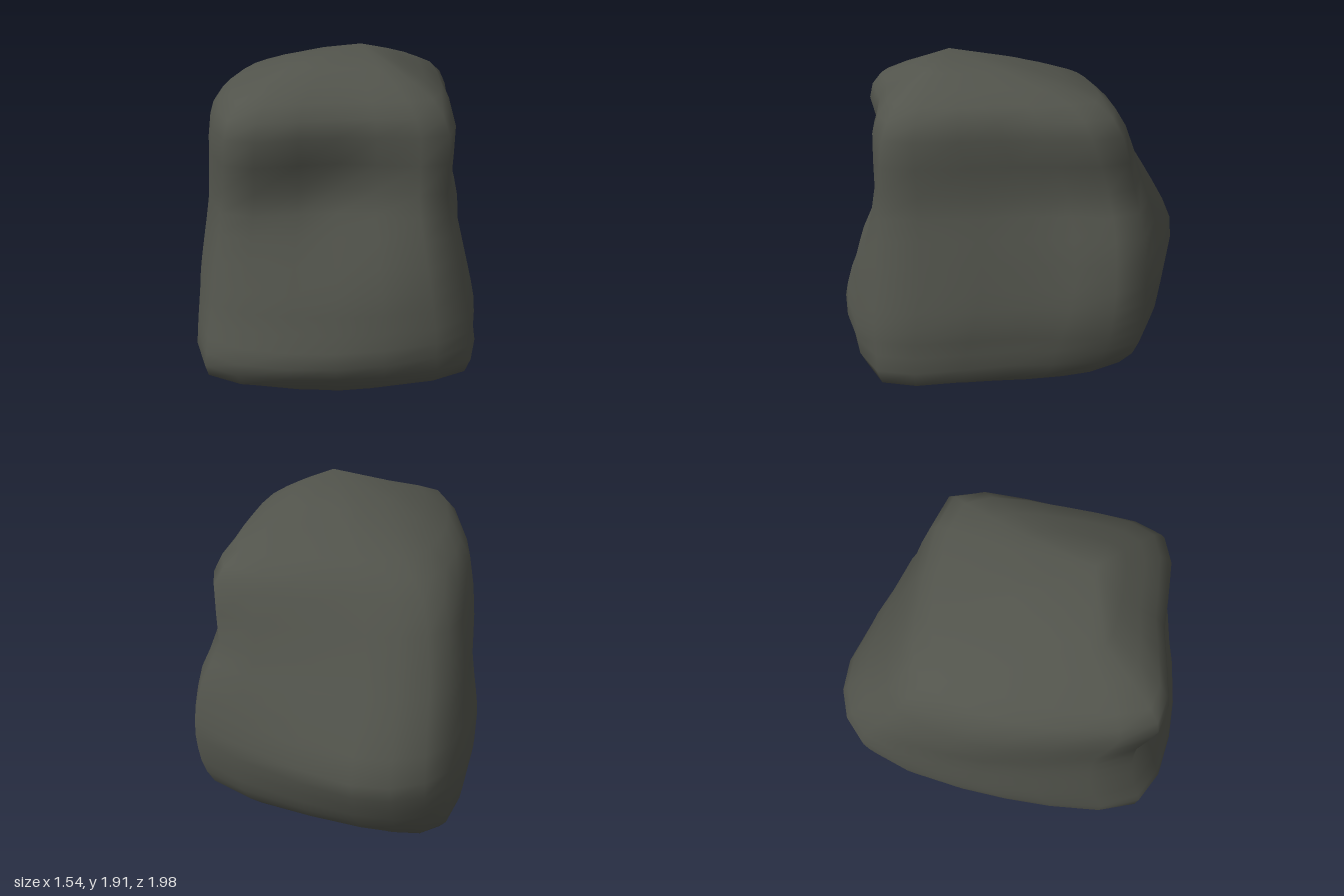
import * as THREE from 'three';

// Each level: y, then right x, front-right xz, front z, front-left xz,
// left x, back-left xz, back z, back-right xz
const LEVELS = [
  [0.02, 0.14, 0.1, 0.42, 0.46, -0.17, 0.43, -0.22, -0.16, 0.2, 0.18, 0.1, 0.2],
  [0.09, 0.42, 0.33, 0.5, 0.64, -0.44, 0.54, -0.5, -0.38, -0.22, -0.24, 0.36, -0.2],
  [0.29, 0.7, 0.7, 0.72, 0.88, -0.62, 0.8, -0.72, -0.62, -0.64, -0.72, 0.6, -0.54],
  [0.46, 0.72, 0.71, 0.74, 0.98, -0.61, 0.86, -0.76, -0.66, -0.72, -0.87, 0.68, -0.62],
  [0.62, 0.73, 0.7, 0.74, 0.93, -0.59, 0.81, -0.77, -0.66, -0.78, -0.94, 0.71, -0.63],
  [0.8, 0.7, 0.66, 0.73, 0.87, -0.57, 0.77, -0.75, -0.65, -0.8, -0.99, 0.71, -0.63],
  [1.05, 0.64, 0.6, 0.71, 0.74, -0.54, 0.72, -0.71, -0.63, -0.7, -0.86, 0.65, -0.62],
  [1.27, 0.58, 0.56, 0.69, 0.65, -0.51, 0.71, -0.7, -0.61, -0.58, -0.72, 0.55, -0.58],
  [1.55, 0.6, 0.56, 0.66, 0.73, -0.48, 0.77, -0.65, -0.55, -0.44, -0.55, 0.58, -0.5],
  [1.7, 0.55, 0.48, 0.59, 0.66, -0.42, 0.7, -0.51, -0.4, -0.28, -0.41, 0.47, -0.38],
  [1.82, 0.34, 0.3, 0.45, 0.48, -0.2, 0.44, -0.22, -0.14, 0.06, -0.06, 0.28, -0.02],
];
const COLUMNS = 24;
const STEPS = 2; // rings per level

// Rounded outline of one level
function outline([y, r, frx, frz, f, flx, flz, l, blx, blz, b, brx, brz]) {
  const mid = (f + b) / 2;
  const points = [
    [r, mid], [frx, frz], [0.04, f], [flx, flz],
    [l, mid], [blx, blz], [(blx * 2 + brx) / 3, b], [brx, brz],
  ].map(([x, z]) => new THREE.Vector3(x, y, z));
  const curve = new THREE.CatmullRomCurve3(points, true, 'catmullrom', 0.42);
  return Array.from({ length: COLUMNS }, (_, i) => curve.getPoint(i / COLUMNS));
}

function rockGeometry() {
  const outlines = LEVELS.map(outline);
  const columns = outlines[0].map((_, i) =>
    new THREE.CatmullRomCurve3(outlines.map((o) => o[i]), false, 'catmullrom', 0.4));
  const rings = (LEVELS.length - 1) * STEPS + 1;
  const positions = [];
  const index = [];

  for (let r = 0; r < rings; r++) {
    for (const column of columns) {
      const p = column.getPoint(r / (rings - 1));
      positions.push(p.x, p.y, p.z);
    }
  }
  // Underside and summit points
  const bottom = rings * COLUMNS;
  const top = bottom + 1;
  positions.push(-0.03, 0, 0.33, 0.14, 1.91, 0.33);

  for (let c = 0; c < COLUMNS; c++) {
    const n = (c + 1) % COLUMNS;
    for (let r = 0; r < rings - 1; r++) {
      const low = r * COLUMNS;
      const high = low + COLUMNS;
      index.push(low + c, high + c, low + n, low + n, high + c, high + n);
    }
    const last = (rings - 1) * COLUMNS;
    index.push(bottom, c, n, last + c, top, last + n);
  }

  const geometry = new THREE.BufferGeometry();
  geometry.setAttribute('position', new THREE.Float32BufferAttribute(positions, 3));
  geometry.setIndex(index);
  geometry.computeVertexNormals();
  return geometry;
}

export function createModel() {
  const group = new THREE.Group();
  group.name = 'boulder';
  const stone = new THREE.MeshStandardMaterial({ color: 0x52544c });
  stone.name = 'dark grey stone';
  const rock = new THREE.Mesh(rockGeometry(), stone);
  rock.name = 'rock';
  group.add(rock);
  return group;
}
